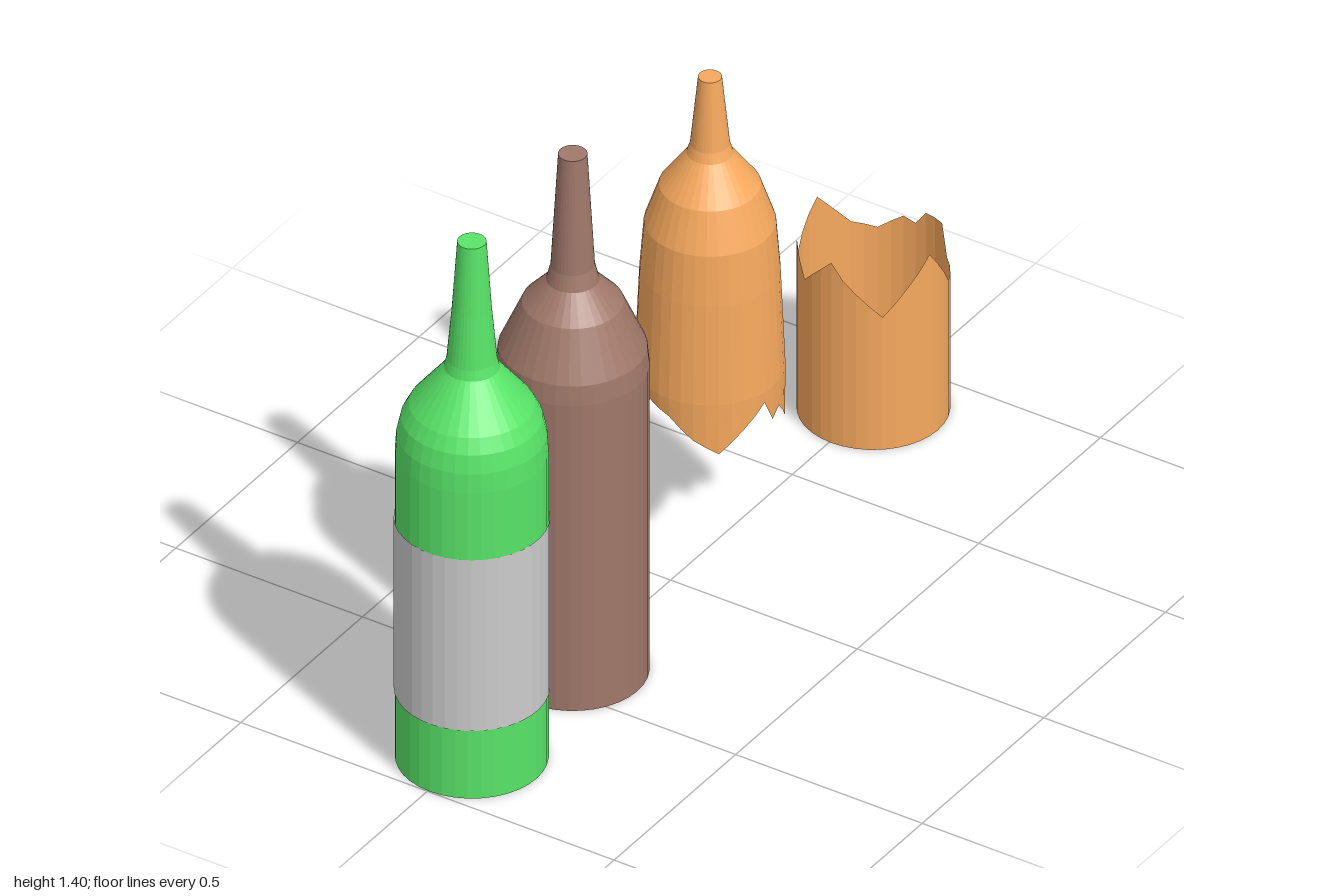
import * as THREE from 'three';

const SEGMENTS = 36;
const RADIUS = 0.173;

const material = (color, side = THREE.FrontSide) =>
  new THREE.MeshStandardMaterial({ color, side, flatShading: true });

function lathe(name, profile, mat) {
  const points = profile.map(([r, y]) => new THREE.Vector2(r, y));
  const mesh = new THREE.Mesh(new THREE.LatheGeometry(points, SEGMENTS), mat);
  mesh.name = name;
  return mesh;
}

// Height of a broken rim at an angle, from [degrees, height] corners
function rimHeight(rim, deg) {
  for (let i = 1; i < rim.length; i++) {
    const [a0, h0] = rim[i - 1];
    const [a1, h1] = rim[i];
    if (deg <= a1) return h0 + ((h1 - h0) * (deg - a0)) / (a1 - a0);
  }
  return rim[0][1];
}

// Moves one ring of a lathe so that it follows the broken rim
function breakEdge(mesh, row, rows, rim) {
  const pos = mesh.geometry.attributes.position;
  for (let i = 0; i <= SEGMENTS; i++) {
    pos.setY(i * rows + row, rimHeight(rim, (i * 360) / SEGMENTS));
  }
  mesh.geometry.computeVertexNormals();
}

export function createModel() {
  const group = new THREE.Group();
  const green = material(0x58e468);
  const brown = material(0xa0786a);
  const orange = material(0xf7a95e, THREE.DoubleSide);

  // Whole green bottle with rounded shoulder
  const greenBottle = new THREE.Group();
  greenBottle.name = 'greenBottle';
  greenBottle.position.set(0.005, 0, 0.825);
  greenBottle.add(lathe('greenGlass', [
    [0, 0], [RADIUS, 0], [RADIUS, 0.83], [0.17, 0.88], [0.16, 0.925],
    [0.142, 0.96], [0.063, 1.06], [0.057, 1.085], [0.045, 1.22],
    [0.033, 1.4], [0, 1.4],
  ], green));

  // Wrapped label, open at the back
  const gapStart = THREE.MathUtils.degToRad(243);
  const wrap = THREE.MathUtils.degToRad(330);
  const label = new THREE.Mesh(
    new THREE.CylinderGeometry(0.1755, 0.1755, 0.465, 33, 1, true, gapStart, wrap),
    material(0xcccccc, THREE.DoubleSide));
  label.name = 'label';
  label.position.y = 0.418;
  greenBottle.add(label);
  group.add(greenBottle);

  // Whole brown bottle
  const brownBottle = lathe('brownBottle', [
    [0, 0], [RADIUS, 0], [RADIUS, 0.83], [0.168, 0.88], [0.115, 1.0],
    [0.06, 1.06], [0.05, 1.1], [0.033, 1.4], [0, 1.4],
  ], brown);
  brownBottle.position.set(0.005, 0, 0.41);
  group.add(brownBottle);

  // Upper half of the broken bottle
  const brokenTop = lathe('brokenTop', [
    [0.168, 0.36], [0.17, 0.48], [0.159, 0.74], [0.149, 0.87], [0.115, 0.97],
    [0.053, 1.055], [0.045, 1.08], [0.027, 1.26], [0, 1.26],
  ], orange);
  breakEdge(brokenTop, 0, 9, [
    [0, 0.43], [20, 0.38], [40, 0.345], [60, 0.4], [80, 0.45], [90, 0.39],
    [100, 0.41], [120, 0.345], [140, 0.345], [150, 0.42], [170, 0.35],
    [190, 0.335], [210, 0.37], [220, 0.34], [240, 0.43], [260, 0.37],
    [290, 0.45], [320, 0.39], [340, 0.45], [360, 0.43],
  ]);
  brokenTop.position.set(-0.015, 0, -0.185);
  group.add(brokenTop);

  // Lower half of the broken bottle
  const brokenBase = lathe('brokenBase', [[0, 0], [RADIUS, 0], [RADIUS, 0.4]], orange);
  breakEdge(brokenBase, 2, 3, [
    [0, 0.49], [10, 0.45], [40, 0.36], [60, 0.43], [80, 0.495], [110, 0.37],
    [140, 0.37], [150, 0.445], [170, 0.44], [180, 0.4], [190, 0.41],
    [210, 0.37], [230, 0.39], [260, 0.49], [290, 0.4], [310, 0.47],
    [330, 0.4], [360, 0.49],
  ]);
  brokenBase.position.set(0.005, 0, -0.826);
  group.add(brokenBase);

  return group;
}
